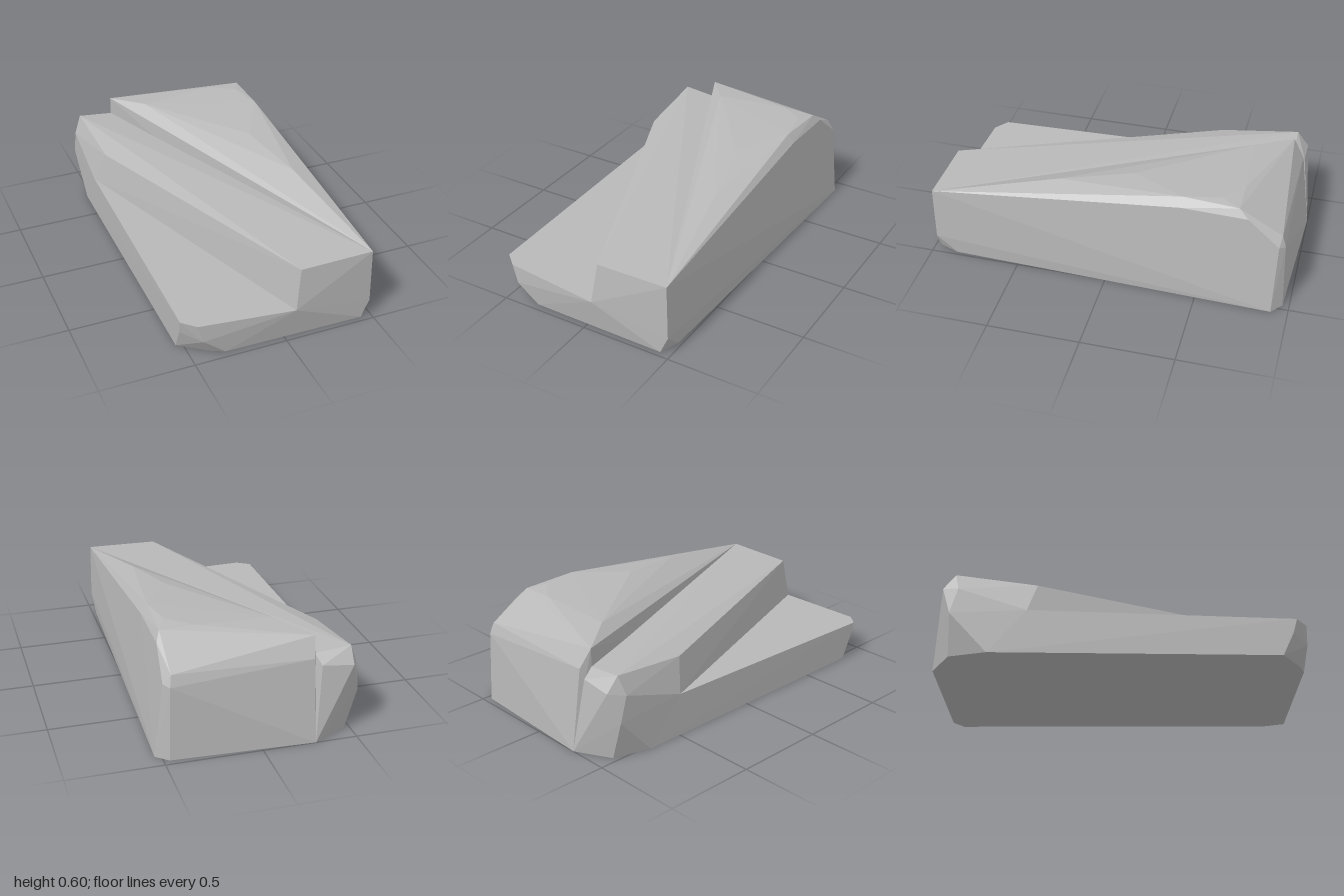
import * as THREE from 'three';
import { ConvexGeometry } from 'three/addons/geometries/ConvexGeometry.js';

// Builds one faceted block of stone around its corner points.
function block(name, corners, material) {
  const geometry = new ConvexGeometry(corners.map((c) => new THREE.Vector3(...c)));
  const mesh = new THREE.Mesh(geometry, material);
  mesh.name = name;
  return mesh;
}

export function createModel() {
  const rock = new THREE.Group();
  rock.name = 'steppedRock';
  const stone = new THREE.MeshStandardMaterial({ color: 0xb8b8b8 });
  stone.name = 'grey stone';

  // corners shared by neighbouring blocks
  const stepFront = [0.05, 0.175, 0.995];
  const stepBack = [-0.535, 0.24, -0.5];
  const ridgeFront = [0.48, 0.405, 0.97];
  const ridgeBack = [-0.3, 0.44, -0.88];
  const frontFoot = [[0.485, 0.1, 0.97], [0.44, 0, 0.97], [0.48, 0, 0.86]];
  const backFoot = [-0.28, 0, -1];
  const leftBackFoot = [[-0.47, 0, -0.9], [-0.53, 0, -0.7]];

  // low shelf with chamfered front left corner
  rock.add(block('lowerLedge', [
    stepFront, stepBack,
    [-0.54, 0.205, 0.9], [-0.47, 0.2, 0.96],
    [-0.44, 0.1, 0.965], [-0.538, 0.13, 0.88],
    [-0.32, 0, 0.96], [-0.385, 0, 0.93], [-0.535, 0, 0.82],
    [0.44, 0, 0.97], ...leftBackFoot,
  ], stone));

  // diagonal middle shelf
  rock.add(block('middleLedge', [
    stepFront, stepBack, ridgeFront, ridgeBack,
    [0.08, 0.4, 0.97], [-0.475, 0.415, -0.45],
    [-0.495, 0.46, -0.88], [-0.535, 0.36, -0.86],
    [-0.535, 0.22, -0.9], [-0.49, 0.38, -0.945], [-0.32, 0.4, -0.945],
    ...frontFoot, backFoot, ...leftBackFoot,
  ], stone));

  // tall block with rounded back and outer rim
  rock.add(block('upperMass', [
    ridgeFront, ridgeBack,
    [-0.3, 0.54, -0.88], [-0.15, 0.568, -0.68], [0, 0.572, -0.71],
    [0.27, 0.59, -0.7], [0.27, 0.572, -0.11], [0.36, 0.53, 0.28],
    [0.44, 0.597, -0.4], [0.4, 0.597, -0.6], [0.45, 0.585, -0.7],
    [0.475, 0.55, -0.4], [0.475, 0.54, -0.75],
    [0.45, 0.45, -0.93], [0.49, 0.4, -0.92], [0.46, 0.39, -0.95],
    [-0.28, 0.44, -0.94],
    ...frontFoot, backFoot, [0.47, 0, -0.965], [0.535, 0, -0.91],
  ], stone));

  return rock;
}
